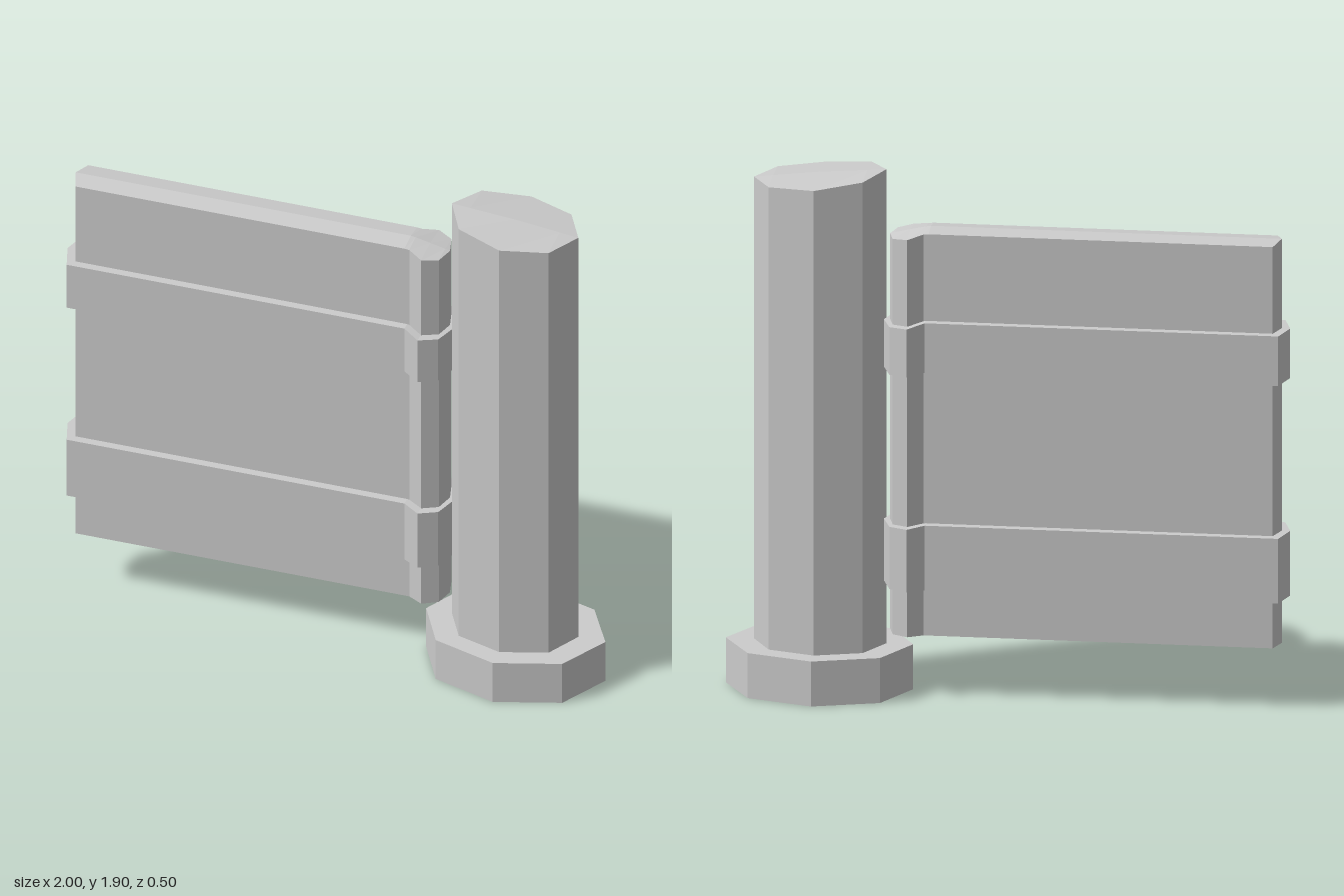
import * as THREE from 'three';

const material = new THREE.MeshStandardMaterial({ color: 0xcccccc, flatShading: true });

// Upright faceted solid, symmetric about z = 0, lofted along x.
// Each station: [x, half depth, bottom y, top y at the edge, top y on the spine]
function loft(name, stations, z = 0) {
  const positions = [];
  const triangle = new THREE.Triangle();
  const addTriangle = (a, b, c) => {
    if (triangle.set(a, b, c).getArea() < 1e-7) return;
    for (const p of [a, b, c]) positions.push(p.x, p.y, p.z);
  };
  const corners = ([x, half, bottom, edge, spine], side) => [
    new THREE.Vector3(x, bottom, 0),
    new THREE.Vector3(x, bottom, half * side),
    new THREE.Vector3(x, edge, half * side),
    new THREE.Vector3(x, spine, 0),
  ];
  for (const side of [1, -1]) {
    for (let i = 0; i < stations.length - 1; i++) {
      const p = corners(stations[i], side);
      const q = corners(stations[i + 1], side);
      // underside, wall and top, one quad each
      for (let k = 0; k < 3; k++) {
        const quad = [p[k], q[k], q[k + 1], p[k + 1]];
        if (side < 0) quad.reverse();
        addTriangle(quad[0], quad[1], quad[2]);
        addTriangle(quad[0], quad[2], quad[3]);
      }
    }
  }
  const geometry = new THREE.BufferGeometry();
  geometry.setAttribute('position', new THREE.Float32BufferAttribute(positions, 3));
  geometry.computeVertexNormals();
  const mesh = new THREE.Mesh(geometry, material);
  mesh.name = name;
  mesh.position.z = z;
  return mesh;
}

// Strap around the panel, dipping slightly at the hinge end
function strap(name, bottom, top, bottomDip, topDip) {
  const row = (x, half, dip) => {
    const y = top - topDip * dip;
    return [x, half, bottom - bottomDip * dip, y, y];
  };
  return loft(name, [
    row(-1, 0, 0), row(-0.97, 0.1, 0), row(0.28, 0.1, 0),
    row(0.34, 0.135, 0.7), row(0.405, 0.1, 0.9), row(0.437, 0, 1),
  ], -0.03);
}

export function createModel() {
  const model = new THREE.Group();
  model.name = 'gate';

  // Octagonal foot
  model.add(loft('postBase', [
    [0.337, 0], [0.432, 0.178], [0.667, 0.25], [0.9, 0.178], [1, 0],
  ].map(([x, half]) => [x, half, 0, 0.165, 0.165])));

  // Octagonal post with a slanted, slightly domed top
  model.add(loft('post', [
    [0.432, 0, 0.1, 1.905, 1.905],
    [0.5, 0.127, 0.1, 1.892, 1.9],
    [0.667, 0.178, 0.1, 1.87, 1.887],
    [0.832, 0.127, 0.1, 1.862, 1.868],
    [0.9, 0, 0.1, 1.86, 1.86],
  ]));

  // Gate panel, swelling into a hinge column on its left
  model.add(loft('gatePanel', [
    [-0.97, 0, 0.23, 1.713, 1.713],
    [-0.947, 0.07, 0.23, 1.703, 1.713],
    [0.27, 0.07, 0.23, 1.703, 1.713],
    [0.288, 0.07, 0.23, 1.701, 1.71],
    [0.342, 0.1, 0.23, 1.688, 1.698],
    [0.397, 0.07, 0.23, 1.681, 1.685],
    [0.415, 0, 0.23, 1.68, 1.68],
  ], -0.03));

  // Straps
  model.add(strap('lowerStrap', 0.405, 0.642, 0, 0.01));
  model.add(strap('upperStrap', 1.203, 1.385, 0.013, 0.021));

  return model;
}
